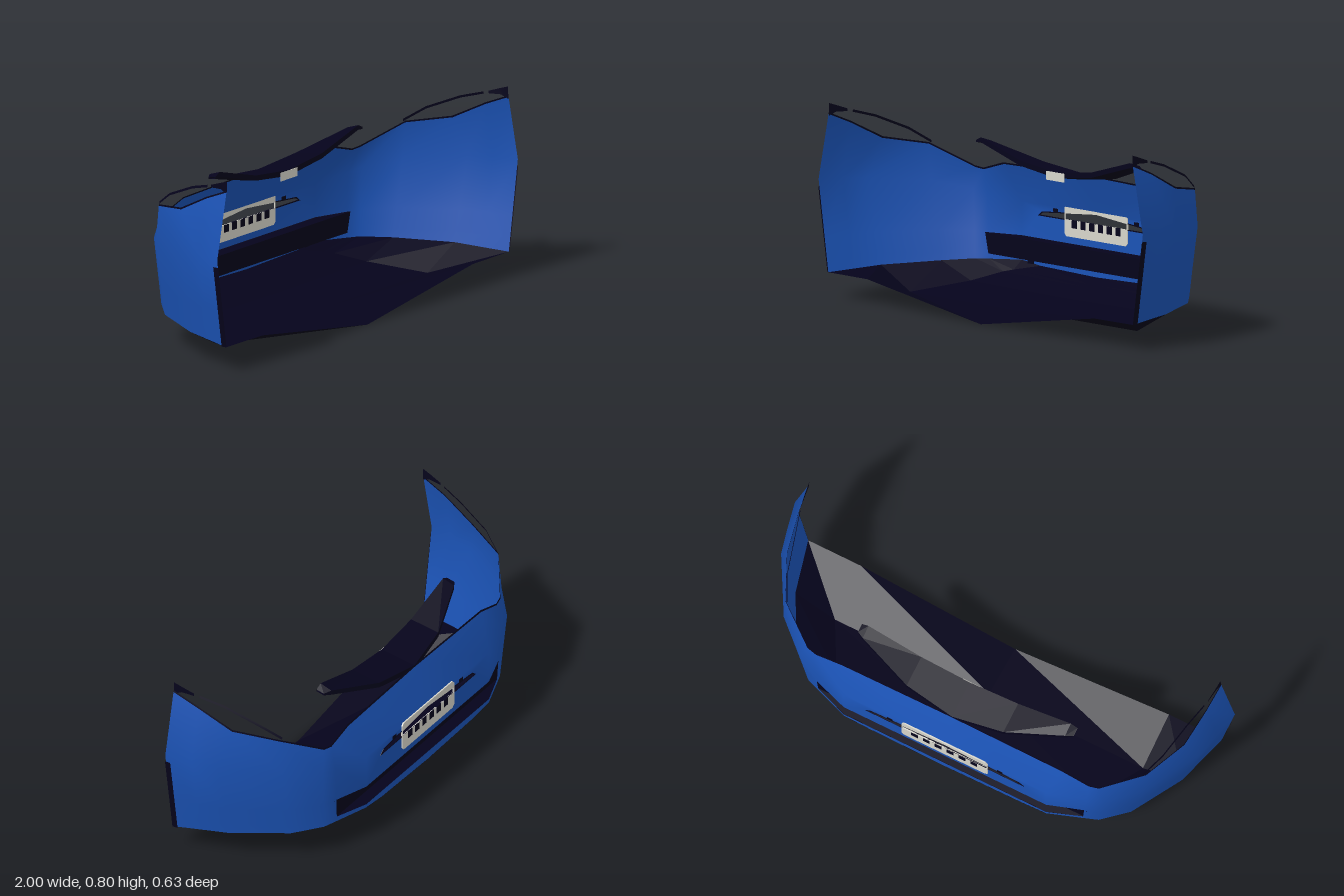
import * as THREE from 'three';
import { mergeGeometries, mergeVertices } from 'three/addons/utils/BufferGeometryUtils.js';

const mat = (name, color) =>
  new THREE.MeshStandardMaterial({ name, color, side: THREE.DoubleSide });

// Surface through rows of points; skip(i, j) leaves a cell open
function grid(rows, skip = () => false) {
  const n = rows[0].length, index = [];
  for (let i = 0; i < rows.length - 1; i++)
    for (let j = 0; j < n - 1; j++) {
      if (skip(i, j)) continue;
      const a = i * n + j, b = a + n;
      index.push(a, b, b + 1, a, b + 1, a + 1);
    }
  const g = new THREE.BufferGeometry();
  g.setAttribute('position', new THREE.Float32BufferAttribute(rows.flat(2), 3));
  g.setIndex(index);
  g.computeVertexNormals();
  return g;
}

// Same surface with hard facets
function facetGrid(rows) {
  const g = grid(rows).toNonIndexed();
  g.computeVertexNormals();
  return g;
}

const flip = ([x, y, z]) => [-x, y, z];
const mirrored = (half) => [...half.slice(1).reverse().map((s) => s.map(flip)), ...half];
const polygon = (pts) => new THREE.Shape(pts.map((p) => new THREE.Vector2(...p)));
const atHeight = (a, b, y) => a.map((v, k) => v + (b[k] - v) * (y - a[1]) / (b[1] - a[1]));

export function createModel() {
  const group = new THREE.Group();
  const blue = mat('blue paint', 0x1b53b6);
  const dark = mat('dark plastic', 0x05031b);
  const grey = mat('plate grey', 0xd8d6cc);
  const add = (name, geometry, material, x = 0, y = 0, z = 0) => {
    const m = new THREE.Mesh(geometry, material);
    m.name = name;
    m.position.set(x, y, z);
    group.add(m);
  };
  const box = (w, h, d) => new THREE.BoxGeometry(w, h, d);
  const slab = (shape, depth) => new THREE.ExtrudeGeometry(shape, { depth, bevelEnabled: false });

  // Painted skin: bottom, widest and top point at each station from the centre outward
  const half = [
    [[0, 0.13, -0.31], [0, 0.39, -0.31], [0, 0.56, -0.245]],
    [[0.46, 0.15, -0.31], [0.46, 0.39, -0.31], [0.5, 0.55, -0.245]],
    [[0.6, 0.143, -0.258], [0.62, 0.41, -0.264], [0.62, 0.515, -0.243]],
    [[0.66, 0.14, -0.235], [0.69, 0.42, -0.25], [0.66, 0.52, -0.235]],
    [[0.76, 0.13, -0.14], [0.82, 0.45, -0.14], [0.82, 0.608, -0.125]],
    [[0.88, 0.12, 0.08], [0.95, 0.47, 0.09], [0.902, 0.64, 0.05]],
    [[0.911, 0.112, 0.2], [0.977, 0.475, 0.2], [0.927, 0.715, 0.2]],
    [[0.94, 0.105, 0.31], [1, 0.48, 0.31], [0.937, 0.76, 0.31]],
  ];
  const rimStart = (mid, top) => atHeight(mid, top, top[1] - 0.007);
  const stations = mirrored(half.map(([low, mid, top]) =>
    [low, atHeight(low, mid, 0.165), atHeight(low, mid, 0.25), mid, rimStart(mid, top)]));
  const c = half.length - 1;
  const open = (i, j) =>
    (j === 1 && i >= c - 2 && i < c + 2) || (j === 2 && i >= c - 1 && i < c + 1);
  const shell = grid(stations, open);

  // Flat middle panel with a shallow chevron opening above the plate
  const chevron = [[-0.35, 0.347], [0.35, 0.347], [0.33, 0.358], [0, 0.386], [-0.33, 0.358]];
  const panelShape = polygon([[-0.46, 0.25], [0, 0.25], [0.46, 0.25], [0.46, 0.39], [0, 0.39], [-0.46, 0.39]]);
  panelShape.holes.push(polygon(chevron));
  const panel = new THREE.ShapeGeometry(panelShape).translate(0, 0, -0.31);
  for (const g of [shell, panel]) {
    g.deleteAttribute('normal');
    g.deleteAttribute('uv');
  }
  const skin = mergeVertices(mergeGeometries([shell, panel]), 1e-4);
  skin.computeVertexNormals();
  add('bumperSkin', skin, blue);

  // Dark lining along the upper edge and around the chevron
  add('upperRim', grid(mirrored(half.map(([, mid, top]) => [rimStart(mid, top), top]))), dark);
  const ringShape = polygon([[-0.36, 0.343], [0.36, 0.343], [0.335, 0.362], [0, 0.389], [-0.335, 0.362]]);
  ringShape.holes.push(polygon(chevron));
  add('chevronRim', slab(ringShape, 0.004), dark, 0, 0, -0.312);

  // Recessed slot: inner panel with an upper and lower shelf
  const slotShape = polygon([[-0.6, 0.165], [0.6, 0.165], [0.62, 0.25], [-0.62, 0.25]]);
  add('slotPanel', slab(slotShape, 0.005), dark, 0, 0, -0.257);
  for (const [y, x] of [[0.165, 0.6], [0.25, 0.61]]) {
    const shelf = new THREE.ShapeGeometry(
      polygon([[-x, -0.253], [-x, -0.259], [-0.46, -0.309], [0.46, -0.309], [x, -0.259], [x, -0.253]]));
    add('slotShelf', shelf.rotateX(Math.PI / 2), dark, 0, y, 0);
  }

  // Undertray: sits on the skin's lower edge, flat across the middle, with a
  // pointed keel and raised shoulders at the open side
  const tray = [
    // skin station, shoulder x, shoulder y, centre y
    [7, 0.7, 0.104, 0],
    [5, 0.7, 0.03, 0.03],
    [4, 0.58, 0.068, 0.063],
    [3, 0.49, 0.106, 0.1],
    [2, 0.45, 0.116, 0.109],
    [1, 0.343, 0.138, 0.13],
  ].map(([i, sx, sy, middle]) => {
    const [x, y, z] = half[i][0];
    return [[x, y, z], [sx, sy, z], [0, middle, z], [-sx, sy, z], [-x, y, z]];
  });
  add('undertray', facetGrid(tray), dark);

  // Thin painted lip closing the joint between skin and undertray
  add('lowerLip', new THREE.ShapeGeometry(polygon(
    [[-0.46, 0.15], [-0.343, 0.138], [0, 0.13], [0.343, 0.138], [0.46, 0.15], [0, 0.15]])), blue, 0, 0, -0.3095);

  // Spoiler blade: closed four-point sections, sweeping up to the tips
  const section = (x, topF, topR, zR, t) => [
    [x, topF, -0.09], [x, topR, zR], [x, topR - t, zR], [x, topF - t, -0.09], [x, topF, -0.09]];
  const blade = mirrored([
    section(0, 0.582, 0.56, -0.247, 0.024),
    section(0.22, 0.606, 0.588, -0.22, 0.022),
    section(0.46, 0.672, 0.655, -0.142, 0.02),
    section(0.49, 0.658, 0.65, -0.125, 0.008),
  ]);
  add('spoiler', facetGrid(blade), dark);
  add('spoilerTab', box(0.11, 0.036, 0.003), grey, 0, 0.564, -0.0895);

  // Number plate with the chevron cut out, and plain dark slots
  const w = 0.195, lo = 0.278, hi = 0.405, r = 0.012;
  const plateShape = polygon([
    [-w + r, lo], [w - r, lo], [w, lo + r], [w, hi - r],
    [w - r, hi], [-w + r, hi], [-w, hi - r], [-w, lo + r]]);
  plateShape.holes.push(polygon([[-0.19, 0.347], [0.19, 0.347], [0.19, 0.37], [0, 0.386], [-0.19, 0.37]]));
  add('plate', slab(plateShape, 0.006), grey, 0, 0, -0.313);
  for (let i = 0; i < 6; i++)
    add('plateSlot', box(0.031, 0.032, 0.0075), dark, -0.133 + i * 0.054, 0.331, -0.31);

  for (const s of [-1, 1]) {
    // Small lamps beside the plate and supports below the slot
    add('plateLamp', box(0.026, 0.014, 0.006), dark, s * 0.25, 0.376, -0.309);
    add('slotSupport', box(0.035, 0.026, 0.006), dark, s * 0.4, 0.154, -0.305);

    // Dark flange along each open end
    const flange = grid([0.313, 0.288].map((z) =>
      [[s * 0.942, 0.105, z], [s * 0.998, 0.45, z]]));
    add('endFlange', flange, dark);

    // Pointed top corner and the thin trim that arches over the side
    const corner = grid([
      [[s * 0.937, 0.745, 0.31], [s * 0.935, 0.798, 0.31]],
      [[s * 0.931, 0.76, 0.275], [s * 0.931, 0.785, 0.27]],
      [[s * 0.924, 0.757, 0.22], [s * 0.924, 0.768, 0.22]],
    ]);
    add('topCorner', corner, dark);
    const arch = grid([
      [0.92, 0.758, 0.198], [0.893, 0.731, 0.1], [0.855, 0.67, -0.045], [0.812, 0.612, -0.13],
    ].map(([x, y, z]) => [[s * x, y - 0.005, z], [s * (x - 0.003), y + 0.005, z]]));
    add('archTrim', arch, dark);
  }
  return group;
}
